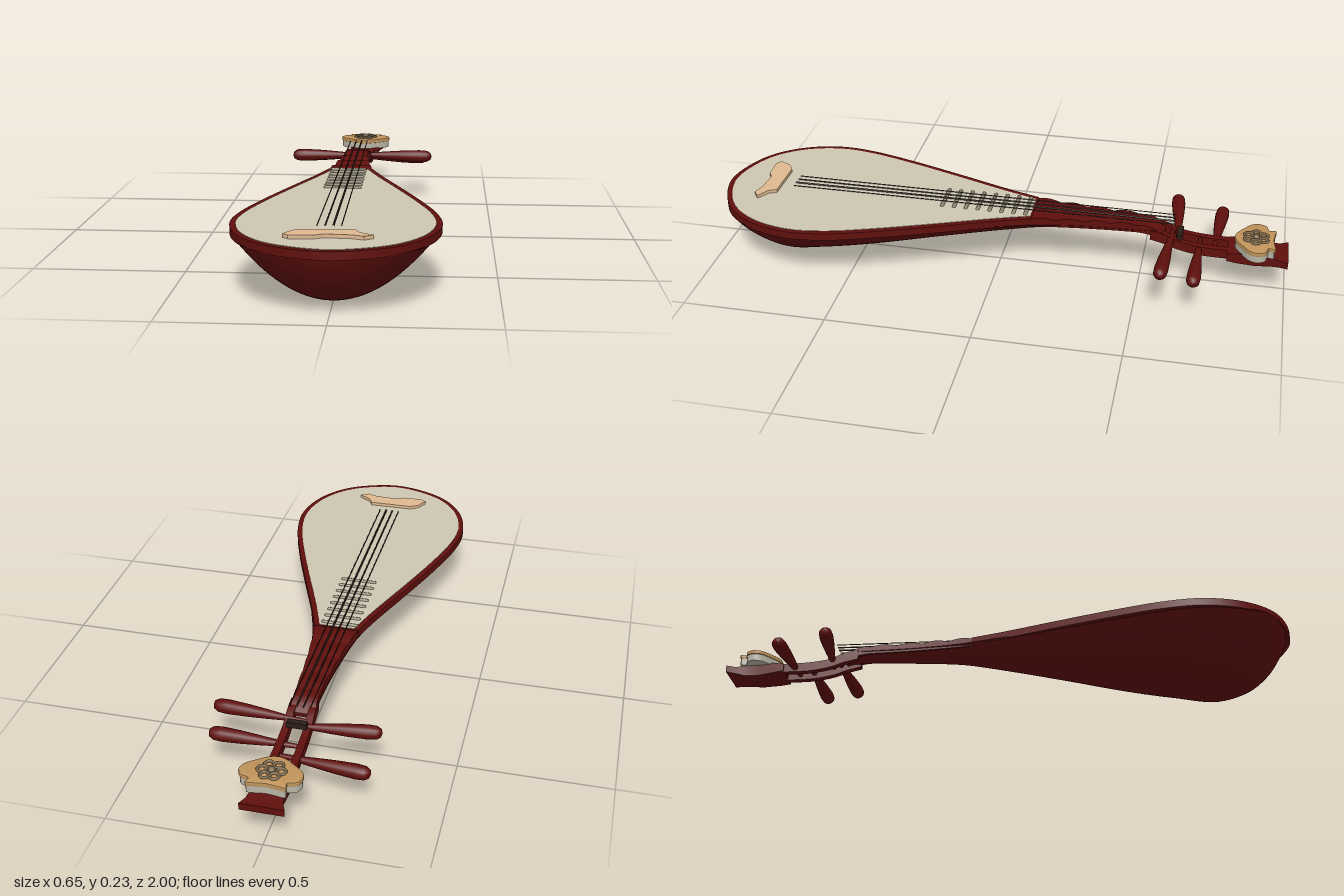
import * as THREE from 'three';
import { toCreasedNormals } from 'three/addons/utils/BufferGeometryUtils.js';

const mat = (color) => new THREE.MeshStandardMaterial({ color });
const red = mat(0x5f0f0c), pale = mat(0xcdc6b2), tan = mat(0xdeb990), gold = mat(0xc0935a);
const olive = mat(0x8f8770), dark = mat(0x2b1d16), ivory = mat(0xb9b5a6), carved = mat(0x7d6a4c);

// the neck sits slightly to one side of the body
const axisX = (z) => -0.009 * THREE.MathUtils.clamp((0.5 - z) / 0.6, 0, 1);

export function createModel() {
  const root = new THREE.Group();
  const add = (name, geo, material, parent = root) => {
    const m = new THREE.Mesh(geo, material);
    m.name = name;
    parent.add(m);
    return m;
  };
  const group = (name) => {
    const g = new THREE.Group();
    g.name = name;
    root.add(g);
    return g;
  };

  // flat plate: plan points [x, z] extruded downward from y = top
  const plate = (pts, top, thick, bevel = 0) => {
    const shape = new THREE.Shape(pts.map(([x, z]) => new THREE.Vector2(x, z)));
    const g = new THREE.ExtrudeGeometry(shape, {
      depth: thick - 2 * bevel, bevelEnabled: bevel > 0, bevelSize: bevel,
      bevelThickness: bevel, bevelOffset: -bevel, bevelSegments: 2,
    });
    g.rotateX(Math.PI / 2).translate(0, top - bevel, 0);
    return toCreasedNormals(g, 0.6);
  };

  // smooth open grid surface from rows of vertices
  const grid = (rows) => {
    const n = rows[0].length, idx = [];
    for (let i = 0; i < rows.length - 1; i++) for (let j = 0; j < n - 1; j++) {
      const a = i * n + j, c = a + n;
      idx.push(a, c, a + 1, a + 1, c, c + 1);
    }
    const g = new THREE.BufferGeometry();
    g.setAttribute('position', new THREE.Float32BufferAttribute(rows.flat(2), 3));
    g.setIndex(idx);
    g.computeVertexNormals();
    return g;
  };

  // rectangular beam running toward -z: sections [z, centreX, halfWidth, top, bottom]
  const beam = (secs) => {
    const pos = [], idx = [];
    for (const [z, x, w, t, b] of secs) pos.push(x - w, b, z, x + w, b, z, x + w, t, z, x - w, t, z);
    for (let i = 0; i < secs.length - 1; i++) for (let k = 0; k < 4; k++) {
      const a = i * 4 + k, b = i * 4 + (k + 1) % 4;
      idx.push(a, a + 4, b, b, a + 4, b + 4);
    }
    const e = (secs.length - 1) * 4;
    idx.push(0, 1, 2, 0, 2, 3, e, e + 2, e + 1, e, e + 3, e + 2);
    const g = new THREE.BufferGeometry();
    g.setAttribute('position', new THREE.Float32BufferAttribute(pos, 3));
    g.setIndex(idx);
    return toCreasedNormals(g, 0.7);
  };

  // bowl back: half width, lowest y and z along the body
  const spine = new THREE.CatmullRomCurve3([
    [0.03, 0.19, 0.985], [0.13, 0.15, 0.965], [0.215, 0.085, 0.92], [0.27, 0.03, 0.85],
    [0.305, 0, 0.74], [0.305, 0.022, 0.6], [0.255, 0.05, 0.42], [0.18, 0.095, 0.19],
    [0.11, 0.135, -0.03], [0.075, 0.155, -0.16], [0.055, 0.162, -0.3],
    [0.043, 0.168, -0.48], [0.04, 0.165, -0.57],
  ].map((p) => new THREE.Vector3(...p)));
  const rows = [];
  for (let i = 0; i <= 70; i++) {
    const p = spine.getPoint(i / 70), row = [];
    for (let j = 0; j <= 32; j++) {
      const t = j / 16 - 1;
      row.push([axisX(p.z) + t * p.x, 0.195 - (0.195 - Math.max(p.y, 0)) * (1 - t * t), p.z]);
    }
    rows.push(row);
  }
  const bowlMat = red.clone();
  bowlMat.side = THREE.DoubleSide;
  add('bowlBack', grid(rows), bowlMat);

  // rim and soundboard share one outline
  const half = [[0.13, 0.968], [0.22, 0.91], [0.29, 0.81], [0.322, 0.68], [0.309, 0.55],
    [0.262, 0.39], [0.19, 0.19], [0.118, 0], [0.078, -0.12]];
  const outline = new THREE.CatmullRomCurve3([
    ...half.map(([x, z]) => [-x, z]).reverse(), [0, 1], ...half,
  ].map(([x, z]) => new THREE.Vector3(x, 0, z)));
  const inset = (d) => Array.from({ length: 91 }, (_, i) => {
    const p = outline.getPoint(i / 90), t = outline.getTangent(i / 90);
    const z = p.z - t.x * d;
    return [p.x + t.z * d + axisX(z), z];
  });
  add('rim', plate(inset(0), 0.216, 0.026), red);
  add('soundboard', plate(inset(0.018), 0.2175, 0.006), pale);

  // neck with a scalloped top
  const neck = [];
  for (let i = 0; i <= 72; i++) {
    const z = -0.11 - i * 0.0065, k = i / 72;
    const w = 0.04 + 0.038 * Math.pow(1 - k, 2);
    const drop = 0.03 * Math.pow(Math.max(0, (k - 0.8) / 0.2), 1.5);
    const wave = 0.008 * Math.abs(Math.sin(k * Math.PI * 5));
    neck.push([z, axisX(z), w, 0.211 + wave - drop, 0.185 - drop * 0.6]);
  }
  add('neck', beam(neck), red);

  // open pegbox: two curved side rails, then the solid head
  for (const s of [-1, 1]) {
    const rail = new THREE.CatmullRomCurve3([
      [-0.53, 0.2, 0.165], [-0.58, 0.19, 0.153], [-0.63, 0.168, 0.136],
      [-0.7, 0.157, 0.124], [-0.76, 0.154, 0.122], [-0.82, 0.153, 0.122],
    ].map((p) => new THREE.Vector3(...p)));
    add(s > 0 ? 'leftPegboxRail' : 'rightPegboxRail', beam(rail.getPoints(16).map(
      (p) => [p.x, -0.007 + s * (0.033 - 0.006 * (p.x + 0.53)), 0.012, p.y, p.z])), red);
  }
  add('nut', new THREE.BoxGeometry(0.066, 0.02, 0.02), dark).position.set(-0.008, 0.175, -0.63);
  add('head', beam([
    [-0.795, 0, 0.06, 0.152, 0.125], [-0.83, 0, 0.058, 0.156, 0.119], [-0.89, 0, 0.052, 0.156, 0.112],
    [-0.94, 0, 0.05, 0.152, 0.115], [-0.97, 0, 0.058, 0.145, 0.12], [-1, 0, 0.07, 0.147, 0.123],
  ]), red);

  // head ornament: ivory base, golden lobed cap and carved flower
  const ornament = group('headOrnament');
  const lobeHalf = [[0.028, -0.822], [0.062, -0.845], [0.09, -0.868], [0.1, -0.895],
    [0.088, -0.922], [0.06, -0.932], [0.062, -0.955]];
  const lobes = (s) => new THREE.CatmullRomCurve3(
    [[0, -0.815], ...lobeHalf, [0, -0.948], ...lobeHalf.map(([x, z]) => [-x, z]).reverse()]
      .map(([x, z]) => new THREE.Vector3(x * s, 0, -0.89 + (z + 0.89) * s)), true, 'catmullrom', 0.4,
  ).getPoints(64).slice(0, 64).map((p) => [p.x, p.z]);
  add('ornamentBase', plate(lobes(0.96), 0.178, 0.026), ivory, ornament);
  add('ornamentCap', plate(lobes(1), 0.192, 0.016, 0.005), gold, ornament);
  for (let i = 0; i < 6; i++) {
    const a = i * Math.PI / 3;
    const petal = add('flowerPetal', new THREE.TorusGeometry(0.014, 0.005, 6, 14), carved, ornament);
    petal.rotation.x = Math.PI / 2;
    petal.position.set(Math.cos(a) * 0.03, 0.194, -0.887 + Math.sin(a) * 0.03);
  }
  add('flowerCentre', new THREE.SphereGeometry(0.012, 12, 8), carved, ornament)
    .position.set(0, 0.194, -0.887);

  // tuning pegs, from thin inner end to rounded outer end
  const pegs = group('tuningPegs');
  for (const [x0, y0, z0, x1, y1, z1] of [
    [0.035, 0.14, -0.748, -0.275, 0.135, -0.768], [0.03, 0.165, -0.628, -0.275, 0.168, -0.603],
    [-0.04, 0.145, -0.7, 0.262, 0.145, -0.694], [-0.04, 0.172, -0.605, 0.28, 0.172, -0.584],
  ]) {
    const a = new THREE.Vector3(x0, y0, z0), dir = new THREE.Vector3(x1, y1, z1).sub(a);
    const len = dir.length();
    const profile = [[0, 0], [0.007, 0], [0.01, 0.25], [0.016, 0.45], [0.021, 0.65],
      [0.024, 0.85], [0.022, 0.94], [0.014, 0.985], [0, 1]];
    const peg = add('tuningPeg', new THREE.LatheGeometry(
      profile.map(([r, h]) => new THREE.Vector2(r, h * len)), 16), red, pegs);
    peg.position.copy(a);
    peg.quaternion.setFromUnitVectors(new THREE.Vector3(0, 1, 0), dir.normalize());
  }

  // frets across the upper soundboard
  const frets = group('frets');
  for (let i = 0; i < 8; i++) {
    const fret = add('fret', new THREE.CapsuleGeometry(0.007, 0.116, 4, 8), olive, frets);
    fret.rotation.z = Math.PI / 2;
    fret.position.set(-0.015, 0.217, -0.095 + i * 0.0425);
  }

  // bridge
  add('bridge', plate([[-0.14, 0.86], [-0.118, 0.82], [-0.09, 0.803], [0.07, 0.803], [0.082, 0.83],
    [0.125, 0.857], [0.098, 0.875], [0.06, 0.862], [-0.02, 0.857], [-0.045, 0.872],
    [-0.122, 0.875]], 0.229, 0.014), tan);

  // strings
  const strings = group('strings');
  for (let i = 0; i < 4; i++) {
    const path = new THREE.LineCurve3(
      new THREE.Vector3(-0.05 + i * 0.0245, 0.226, 0.755),
      new THREE.Vector3(-0.044 + i * 0.022, 0.226, -0.61));
    add('string', new THREE.TubeGeometry(path, 1, 0.0018 + (i % 3) * 0.0008, 6), dark, strings);
  }
  return root;
}
